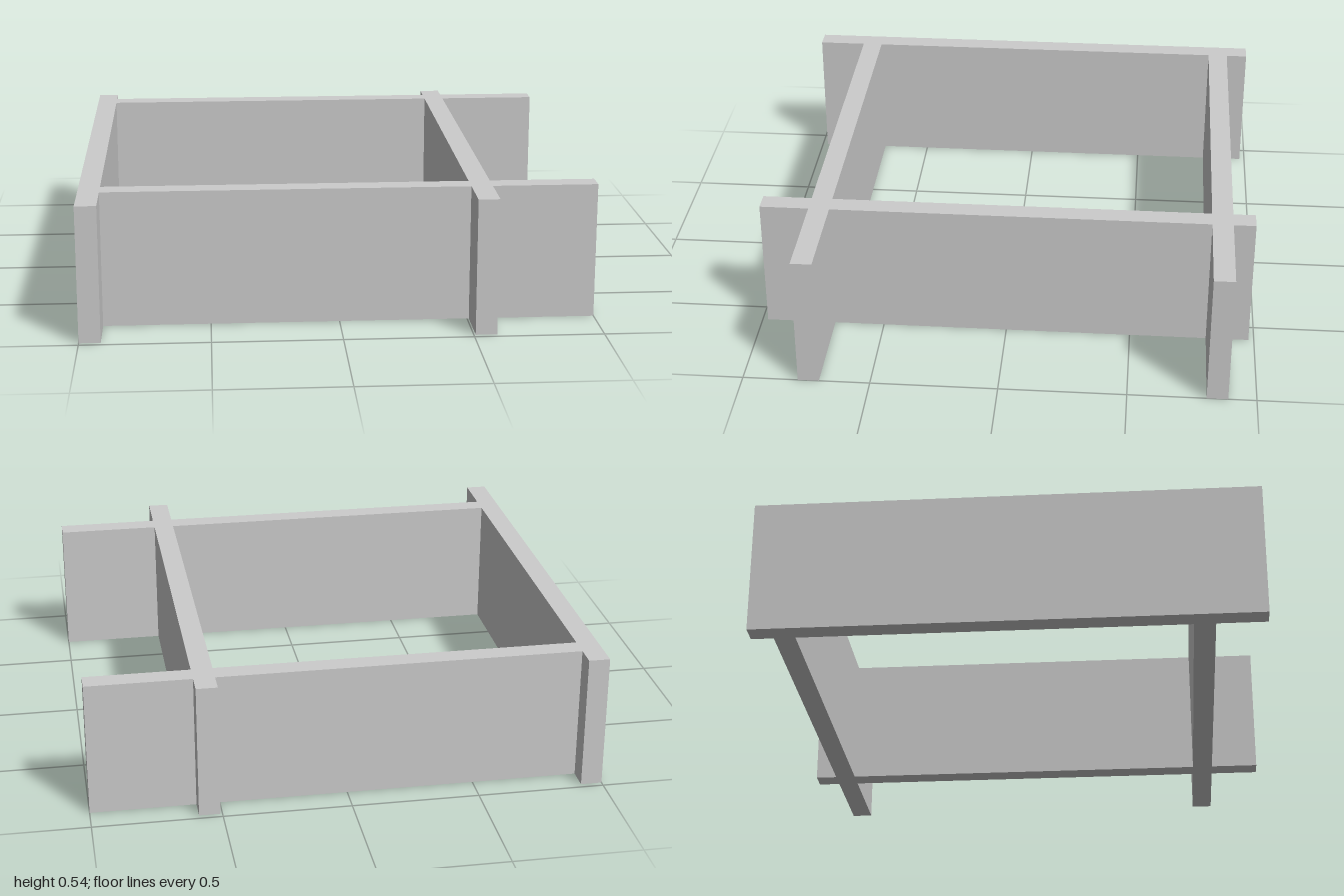
import * as THREE from 'three';

const HEIGHT = 0.535;
const T = 0.083; // wall thickness

export function createModel() {
  const group = new THREE.Group();
  group.name = 'crossedWallFrame';
  const material = new THREE.MeshStandardMaterial({ color: 0xcccccc, flatShading: true });

  // Upright slab standing on the ground between two plan corners
  const wall = (name, x0, x1, z0, z1) => {
    const mesh = new THREE.Mesh(new THREE.BoxGeometry(x1 - x0, HEIGHT, z1 - z0), material);
    mesh.position.set((x0 + x1) / 2, HEIGHT / 2, (z0 + z1) / 2);
    mesh.name = name;
    group.add(mesh);
  };

  // Walls running front to back
  const rightX = -1, leftX = 0.507;
  wall('rightWall', rightX, rightX + T, -0.978, 0.978);
  wall('leftWall', leftX, leftX + T, -0.978, 0.978);

  // Cross walls: a span between the side walls and a stub beyond the left one
  for (const [name, z] of [['front', 0.7], ['back', -0.89]]) {
    wall(name + 'Wall', rightX + T, leftX, z, z + T);
    wall(name + 'WallEnd', leftX + T, 1, z, z + T);
  }
  return group;
}
